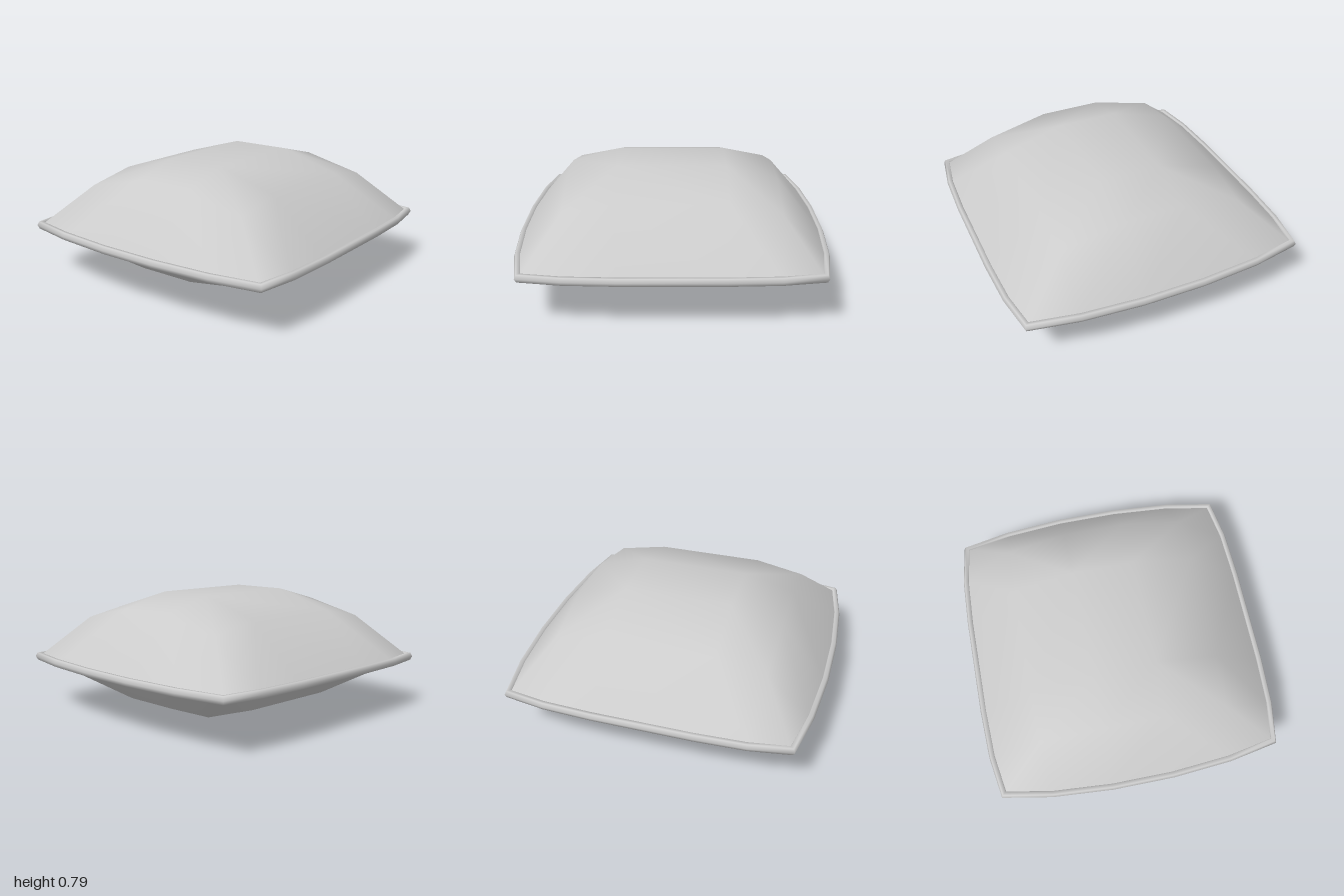
import * as THREE from 'three';

// Quarter tables, indexed [column from centre][row from centre]
const X = [[0.35, 0.35, 0.32], [0.68, 0.67, 0.64], [1.0, 0.97, 0.91]];
const Z = [[0.2, 0.6, 0.968], [0.2, 0.6, 0.955], [0.2, 0.59, 0.912]];
const TOP = [[0.787, 0.672], [0.7, 0.61]];
const BOTTOM = [[0.0, 0.12], [0.115, 0.17]];
const N = 6, SEAM = 0.333, INSET = 0.032;

const fromCentre = i => Math.abs(i - 2.5) - 0.5;
const side = i => Math.sign(i - 2.5);

// Outer outline, walked round the border of the 6 x 6 grid
function outline() {
  const cells = [];
  for (let k = 0; k < 5; k++) cells.push([k, 0]);
  for (let k = 0; k < 5; k++) cells.push([5, k]);
  for (let k = 5; k > 0; k--) cells.push([k, 5]);
  for (let k = 5; k > 0; k--) cells.push([0, k]);
  const pts = cells.map(([i, j]) => new THREE.Vector2(
    side(i) * X[fromCentre(i)][fromCentre(j)], side(j) * Z[fromCentre(i)][fromCentre(j)]));
  // Mitred outward direction at each point
  return pts.map((p, k) => {
    const a = pts[(k + 19) % 20], b = pts[(k + 1) % 20];
    const d1 = p.clone().sub(a).normalize(), d2 = b.clone().sub(p).normalize();
    const n1 = new THREE.Vector2(d1.y, -d1.x), n2 = new THREE.Vector2(d2.y, -d2.x);
    const out = n1.clone().add(n2).normalize();
    out.divideScalar(out.dot(n1));
    return { cell: cells[k], p, out };
  });
}

function build(positions, index) {
  const g = new THREE.BufferGeometry();
  g.setAttribute('position', new THREE.Float32BufferAttribute(positions, 3));
  g.setIndex(index);
  g.computeVertexNormals();
  return g;
}

// One puffed fabric panel; diagonals run out towards the corners
function panel(rim, heights, up) {
  const pos = [], index = [];
  const shrink = up ? 1 : 0.95;
  for (let j = 0; j < N; j++) for (let i = 0; i < N; i++) {
    const a = fromCentre(i), b = fromCentre(j);
    const edge = rim.find(r => r.cell[0] === i && r.cell[1] === j);
    if (edge) {
      const q = edge.p.clone().addScaledVector(edge.out, -INSET);
      pos.push(q.x, SEAM + (up ? 0.008 : -0.008), q.y);
    } else {
      pos.push(side(i) * X[a][b] * shrink, heights[a][b], side(j) * Z[a][b] * (up ? 1 : 0.97));
    }
  }
  const tri = (a, b, c) => up ? index.push(a, b, c) : index.push(a, c, b);
  for (let j = 0; j < N - 1; j++) for (let i = 0; i < N - 1; i++) {
    const a = j * N + i, b = a + 1, c = a + N, d = c + 1;
    if ((i - 2) * (j - 2) >= 0) { tri(a, c, d); tri(a, d, b); }
    else { tri(a, c, b); tri(b, c, d); }
  }
  return build(pos, index);
}

// Six-sided cord swept round the seam
function piping(rim) {
  const pos = [], index = [], S = 6, w = 0.022, h = 0.028;
  for (const { p, out } of rim) for (let s = 0; s < S; s++) {
    const t = (s / S) * Math.PI * 2;
    const q = p.clone().addScaledVector(out, w * (Math.cos(t) - 1));
    pos.push(q.x, SEAM + h * Math.sin(t), q.y);
  }
  for (let k = 0; k < 20; k++) for (let s = 0; s < S; s++) {
    const k2 = (k + 1) % 20, s2 = (s + 1) % S;
    const a = k * S + s, b = k2 * S + s, c = k * S + s2, d = k2 * S + s2;
    index.push(a, c, b, b, c, d);
  }
  return build(pos, index);
}

export function createModel() {
  const group = new THREE.Group();
  group.name = 'cushion';
  const material = new THREE.MeshStandardMaterial({ color: 0xcccccc, side: THREE.DoubleSide });
  const rim = outline();
  const add = (name, geometry) => {
    const mesh = new THREE.Mesh(geometry, material);
    mesh.name = name;
    group.add(mesh);
  };
  add('topPanel', panel(rim, TOP, true));
  add('bottomPanel', panel(rim, BOTTOM, false));
  add('seamPiping', piping(rim));
  return group;
}
